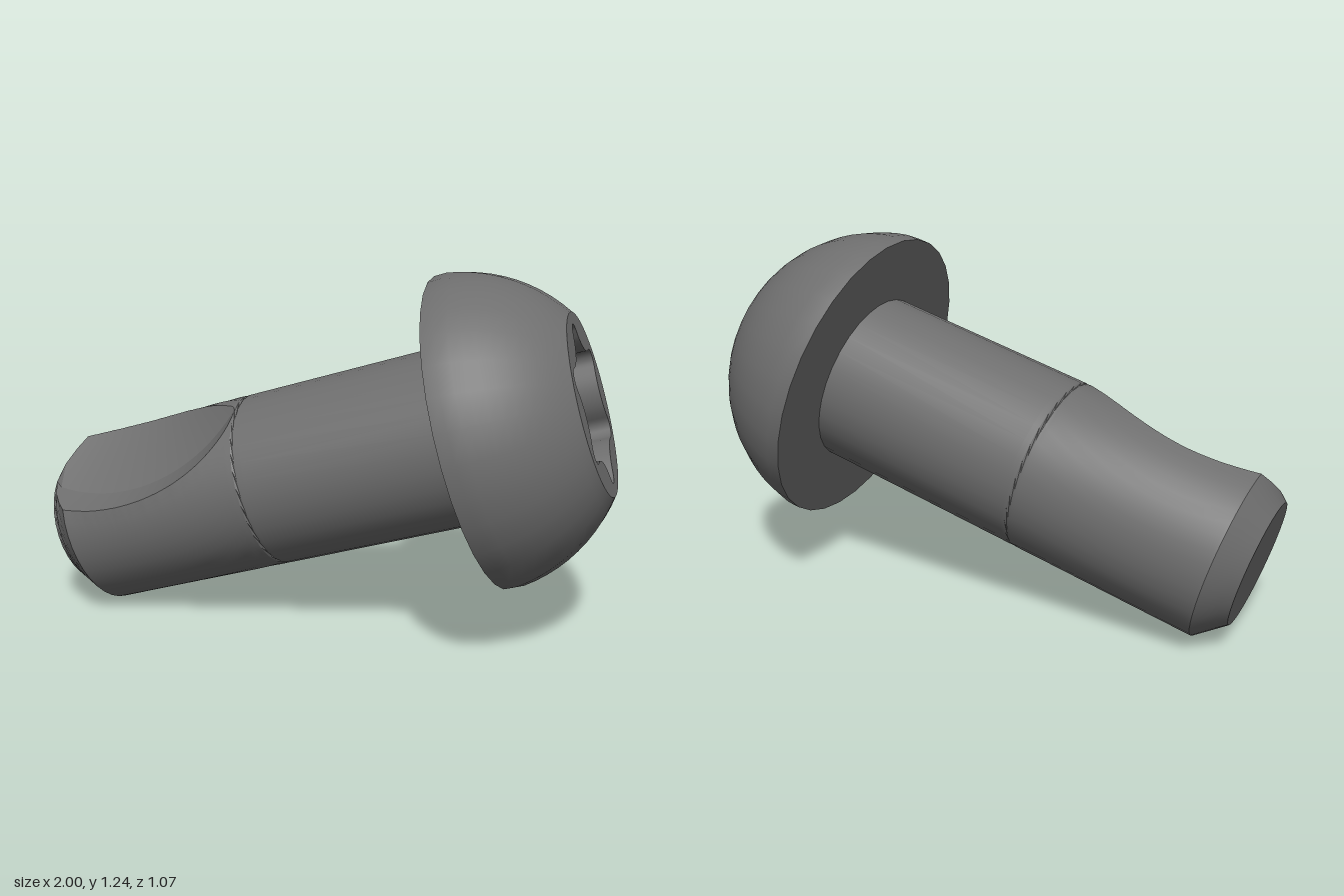
import * as THREE from 'three';
import { toCreasedNormals } from 'three/addons/utils/BufferGeometryUtils.js';

const AXIS_TILT = THREE.MathUtils.degToRad(16.9);
const SHAFT_R = 0.305, TIP_R = 0.22, TIP = -1.533, CHAMFER = -1.44;
const HEAD_R = 0.533, FACE_R = 0.307, FACE_Y = 0.396, SOCKET_Y = 0.106;

// Joins closed rings of points into a skin; ends can be closed with a fan at the first ring
function skin(rings, crease, capCentre) {
  const pos = [];
  const tri = (a, b, c) => {
    const area = new THREE.Triangle(a, b, c).getArea();
    if (area > 1e-9) for (const p of [a, b, c]) pos.push(p.x, p.y, p.z);
  };
  const n = rings[0].length;
  for (let j = 0; j < n; j++) {
    const k = (j + 1) % n;
    for (let i = 0; i < rings.length - 1; i++) {
      tri(rings[i][j], rings[i][k], rings[i + 1][k]);
      tri(rings[i][j], rings[i + 1][k], rings[i + 1][j]);
    }
    if (capCentre) tri(capCentre, rings[0][k], rings[0][j]);
  }
  const g = new THREE.BufferGeometry();
  g.setAttribute('position', new THREE.Float32BufferAttribute(pos, 3));
  return toCreasedNormals(g, crease);
}

// Cutting notch: the space swept by a double-angle wheel near the tip
const WHEEL = { y: -1.22, u: 0.648, r: 0.615, w: 0.2 };
const [WZ, WN] = [0.937, 0.349];
function inNotch(y, z, n) {
  const t = WZ * z + WN * n - WHEEL.w;
  const u = -WN * z + WZ * n;
  const reach = WHEEL.r + (t < 0 ? 1.667 : 0.7) * t;
  return Math.hypot(y - WHEEL.y, WHEEL.u - u) < reach;
}

// One cross-section of the shaft: round arc, then the two notch faces
function shaftRing(y) {
  const full = Math.min(SHAFT_R, TIP_R + (y - TIP) * (SHAFT_R - TIP_R) / (CHAMFER - TIP));
  const cut = (phi, r) => inNotch(y, r * Math.sin(phi), r * Math.cos(phi));
  const deg = Math.PI / 180;
  let from = null, to = null;
  for (let d = -60; d <= 120; d += 0.2) {
    if (!cut(d * deg, full)) continue;
    if (from === null) from = d * deg;
    to = d * deg;
  }
  if (from === null) from = to = 33 * deg;
  // angle of the crease between the two notch faces
  const dy = y - WHEEL.y;
  const u = WHEEL.u - Math.sqrt(Math.max(0, WHEEL.r ** 2 - dy * dy));
  const crease = THREE.MathUtils.clamp(
    Math.atan2(WZ * WHEEL.w - WN * u, WN * WHEEL.w + WZ * u), from, to);
  const ring = [];
  const add = (phi) => {
    let r = full;
    if (cut(phi, full)) {
      let lo = 0, hi = full;
      for (let i = 0; i < 24; i++) {
        const mid = (lo + hi) / 2;
        if (cut(phi, mid)) hi = mid; else lo = mid;
      }
      r = lo;
    }
    ring.push(new THREE.Vector3(-r * Math.cos(phi), y, r * Math.sin(phi)));
  };
  const span = (a, b, count) => {
    for (let i = 0; i < count; i++) add(a + (b - a) * i / count);
  };
  span(to, from + 2 * Math.PI, 32);
  span(from, crease, 10);
  span(crease, to, 8);
  return ring;
}

// Six-lobed socket outline: small round lobes joined by wide inward arcs
function socketOutline() {
  const pts = [];
  const arc = (dir, dist, r, a, b) => {
    for (let i = 0; i < 8; i++) {
      const t = dir + a + (b - a) * i / 8;
      pts.push(new THREE.Vector2(
        dist * Math.cos(dir) + r * Math.cos(t), dist * Math.sin(dir) + r * Math.sin(t)));
    }
  };
  const turn = 66.4 * Math.PI / 180, sweep = 36.4 * Math.PI / 180;
  for (let i = 0; i < 6; i++) {
    const dir = i * Math.PI / 3;
    arc(dir, 0.228, 0.04, -turn, turn);
    arc(dir + Math.PI / 6, 0.352, 0.152, Math.PI + sweep, Math.PI - sweep);
  }
  return pts;
}

export function createModel() {
  const model = new THREE.Group();
  model.name = 'screw';
  const steel = new THREE.MeshStandardMaterial({ color: 0x6e6e6e });
  steel.name = 'dark steel';
  const add = (name, geometry) => {
    const mesh = new THREE.Mesh(geometry, steel);
    mesh.name = name;
    model.add(mesh);
  };

  // Shaft with chamfered tip and notch
  const levels = [TIP, TIP + 0.03, TIP + 0.06];
  for (let i = 0; i <= 60; i++) levels.push(CHAMFER + i * 0.0118);
  levels.push(0);
  add('shaft', skin(levels.map(shaftRing), 0.28, new THREE.Vector3(0, TIP, 0)));

  // Domed head with flat underside
  const profile = [new THREE.Vector2(0.29, 0), new THREE.Vector2(HEAD_R, 0)];
  const centre = -0.05;
  const start = Math.atan2(0.045 - centre, HEAD_R), end = Math.atan2(FACE_Y - centre, FACE_R);
  const domeR = Math.hypot(FACE_R, FACE_Y - centre);
  for (let i = 0; i <= 10; i++) {
    const t = start + (end - start) * i / 10;
    profile.push(new THREE.Vector2(domeR * Math.cos(t), centre + domeR * Math.sin(t)));
  }
  add('head', toCreasedNormals(new THREE.LatheGeometry(profile, 32), 0.6));

  // Flat face around the socket
  const outline = socketOutline();
  const face = new THREE.Shape().absarc(0, 0, FACE_R, 0, 2 * Math.PI);
  face.holes.push(new THREE.Path(outline));
  add('headFace', new THREE.ShapeGeometry(face, 32).rotateX(-Math.PI / 2).translate(0, FACE_Y, 0));

  // Socket walls and floor
  const level = (y) => outline.map((p) => new THREE.Vector3(p.x, y, -p.y));
  add('socketWall', skin([level(FACE_Y), level(SOCKET_Y)], 0.7));
  add('socketFloor', new THREE.ShapeGeometry(new THREE.Shape(outline))
    .rotateX(-Math.PI / 2).translate(0, SOCKET_Y, 0));

  // Lean the whole screw, head to the +x side
  model.rotation.z = AXIS_TILT - Math.PI / 2;
  model.position.set(0.528, 0.712, 0);
  const root = new THREE.Group();
  root.name = 'tiltedScrew';
  root.add(model);
  return root;
}
